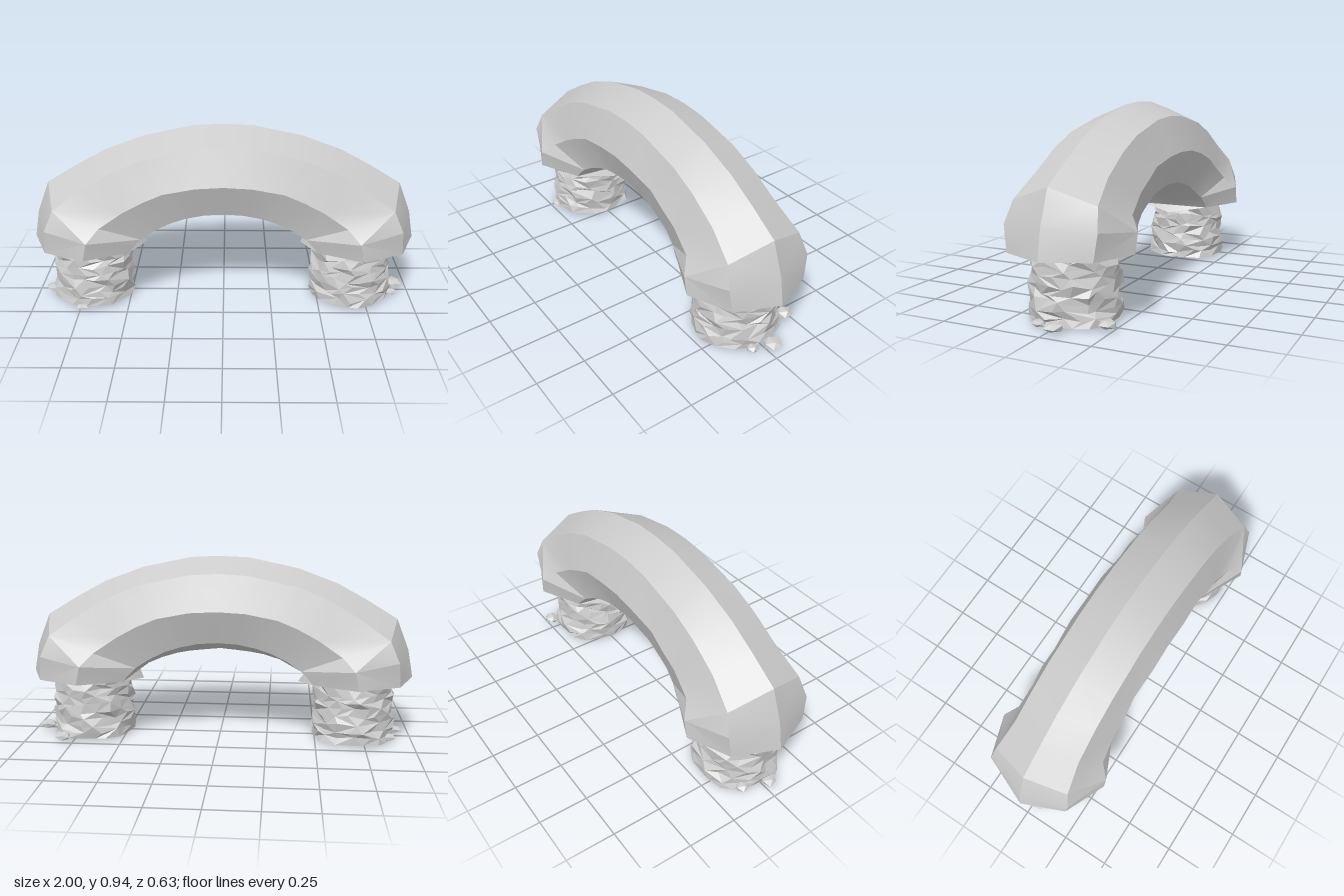
import * as THREE from 'three';
import { toCreasedNormals } from 'three/addons/utils/BufferGeometryUtils.js';

// Repeatable pseudo-random numbers in -1..1
function seeded(seed) {
  let s = seed;
  return () => {
    s = (s * 16807) % 2147483647;
    return (s / 2147483647) * 2 - 1;
  };
}

// Join closed rings of points into a solid with flat-shaded, capped ends
function loft(rings) {
  const out = [];
  const n = rings[0].length;
  const tri = (...pts) => pts.forEach((p) => out.push(...p));
  for (let s = 0; s < rings.length - 1; s++) {
    for (let j = 0; j < n; j++) {
      const k = (j + 1) % n;
      const a = rings[s][j], b = rings[s][k], c = rings[s + 1][j], d = rings[s + 1][k];
      if ((s + j) % 2) { tri(a, b, d); tri(a, d, c); }
      else { tri(a, b, c); tri(b, d, c); }
    }
  }
  const centre = (r) => [0, 1, 2].map((i) => r.reduce((t, p) => t + p[i], 0) / n);
  const first = rings[0], last = rings[rings.length - 1];
  for (let j = 0; j < n; j++) {
    const k = (j + 1) % n;
    tri(centre(first), first[k], first[j]);
    tri(centre(last), last[j], last[k]);
  }
  const g = new THREE.BufferGeometry();
  g.setAttribute('position', new THREE.Float32BufferAttribute(out, 3));
  g.computeVertexNormals();
  return g;
}

// Half arch, foot to crown: [x, y] of the five ridges, top to underside
const ridges = {
  outer: [[1, .325], [.973, .47], [.91, .63], [.75, .728], [.6, .81], [.4, .885], [.15, .938], [0, .945]],
  shoulder: [[.91, .325], [.9, .45], [.855, .555], [.71, .655], [.55, .75], [.4, .812], [.15, .866], [0, .875]],
  side: [[.7, .325], [.68, .42], [.62, .48], [.5, .56], [.4, .615], [.3, .655], [.14, .688], [0, .695]],
  lower: [[.48, .322], [.46, .35], [.42, .39], [.35, .435], [.27, .475], [.19, .5], [.1, .52], [0, .525]],
  under: [[.41, .29], [.44, .33], [.38, .375], [.31, .405], [.23, .43], [.16, .443], [.08, .452], [0, .46]],
};
// Half widths of the shoulder, side and lower ridges at each station
const widths = {
  shoulder: [.215, .232, .21, .185, .18, .178, .175, .175],
  side: [.31, .313, .258, .243, .245, .235, .243, .24],
  lower: [.2, .2, .19, .18, .18, .175, .18, .175],
};

function archRing(i, side) {
  const at = (name, zSign) => {
    const [x, y] = ridges[name][i];
    return [x * side, y, zSign ? widths[name][i] * zSign : 0];
  };
  return [
    at('outer', 0), at('shoulder', 1), at('side', 1), at('lower', 1),
    at('under', 0), at('lower', -1), at('side', -1), at('shoulder', -1),
  ];
}

function archGeometry() {
  const rings = [];
  for (let i = 0; i < 8; i++) rings.push(archRing(i, -1));
  for (let i = 6; i >= 0; i--) rings.push(archRing(i, 1));
  return toCreasedNormals(loft(rings), 0.42);
}

// Rough pillar: chipped, staggered courses of stone
function pillarGeometry(seed) {
  const rnd = seeded(seed);
  const rows = 9, sides = 18;
  const rings = [];
  for (let r = 0; r <= rows; r++) {
    const end = r === 0 || r === rows;
    const base = THREE.MathUtils.lerp(.215, .198, r / rows);
    const ring = [];
    for (let j = 0; j < sides; j++) {
      const a = ((j + (r % 2) * .5 + rnd() * .25) / sides) * Math.PI * 2;
      const ledge = (Math.floor((j + r) / 2) % 2 ? .006 : -.006);
      const radius = base + ledge + rnd() * .009;
      const y = .01 + (r / rows) * .325 + (end ? 0 : rnd() * .013);
      ring.push([Math.cos(a) * radius, y, -Math.sin(a) * radius]);
    }
    rings.push(ring);
  }
  return loft(rings);
}

// Flattened broken stone
function rubbleGeometry(seed) {
  const rnd = seeded(seed);
  const g = new THREE.IcosahedronGeometry(1, 0);
  const p = g.attributes.position;
  const moved = new Map();
  for (let i = 0; i < p.count; i++) {
    const key = [p.getX(i), p.getY(i), p.getZ(i)].map((v) => v.toFixed(2)).join();
    if (!moved.has(key)) moved.set(key, 1 + rnd() * .15);
    const f = moved.get(key);
    p.setXYZ(i, p.getX(i) * f, Math.max(p.getY(i) * f, -.7), p.getZ(i) * f);
  }
  g.computeVertexNormals();
  return g;
}

export function createModel() {
  const model = new THREE.Group();
  model.name = 'stoneArch';
  const stone = new THREE.MeshStandardMaterial({ color: 0xcccccc });
  stone.name = 'grey stone';

  const add = (name, geometry) => {
    const mesh = new THREE.Mesh(geometry, stone);
    mesh.name = name;
    model.add(mesh);
    return mesh;
  };

  add('arch', archGeometry());
  add('leftPillar', pillarGeometry(41)).position.x = .68;
  add('rightPillar', pillarGeometry(977)).position.x = -.695;

  // Rubble at the pillar feet: x, z, half length, half height, half depth
  const rubble = [
    [.93, -.03, .05, .024, .05],
    [.9, .065, .035, .018, .035],
    [.8, -.225, .045, .024, .045],
    [-.92, .03, .045, .02, .045],
    [-.88, -.1, .04, .02, .04],
    [-.74, .215, .04, .014, .028],
  ];
  rubble.forEach(([x, z, sx, sy, sz], i) => {
    const rock = add('rubble' + (i + 1), rubbleGeometry(101 + i * 53));
    rock.scale.set(sx, sy, sz);
    rock.position.set(x, i === 5 ? sy * .7 : sy * .7 + .012, z);
  });
  return model;
}
